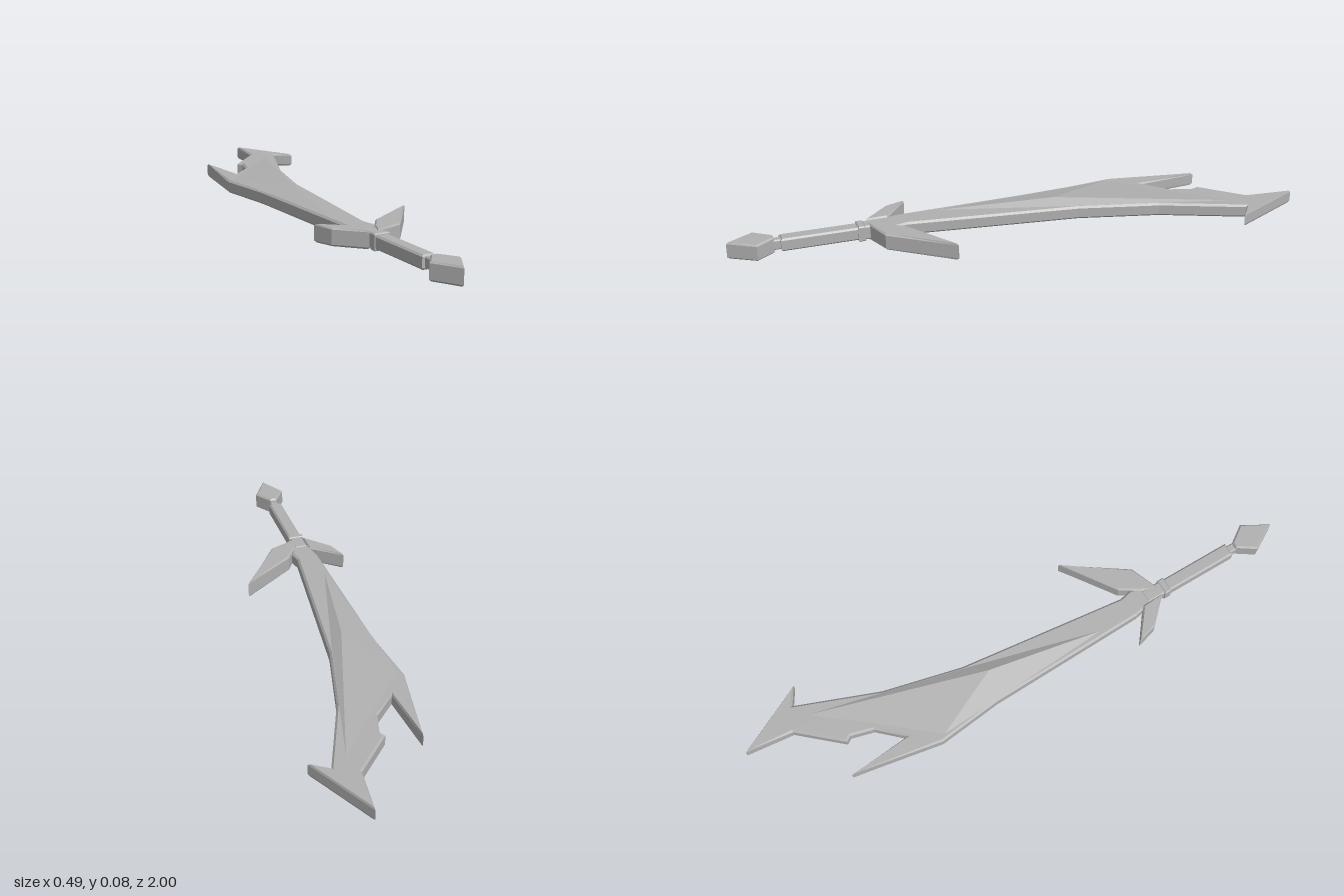
import * as THREE from 'three';

export function createModel() {
  const group = new THREE.Group();
  group.name = 'sword';
  const steel = new THREE.MeshStandardMaterial({ color: 0xb0b0b0 });
  steel.name = 'grey steel';

  // Bevelled plate lying flat: outline in [x, z], from height y0 to y1
  function plate(name, outline, y0, y1, bevel) {
    const shape = new THREE.Shape(outline.map(([x, z]) => new THREE.Vector2(x, -z)));
    const geo = new THREE.ExtrudeGeometry(shape, {
      depth: y1 - y0 - 2 * bevel, bevelEnabled: true, bevelSegments: 1,
      bevelThickness: bevel, bevelSize: bevel, bevelOffset: -bevel,
    });
    geo.rotateX(-Math.PI / 2);
    geo.translate(0, y0 + bevel, 0);
    const mesh = new THREE.Mesh(geo, steel);
    mesh.name = name;
    group.add(mesh);
  }

  // Rectangular plate centred on the handle axis
  const axis = -0.114;
  const bar = (name, halfWidth, z0, z1, y0, y1, bevel) => plate(name, [
    [axis - halfWidth, z1], [axis + halfWidth, z1],
    [axis + halfWidth, z0], [axis - halfWidth, z0],
  ], y0, y1, bevel);

  // Blade with barbed tip and a hooked back edge
  plate('blade', [
    [-0.135, 0.5], [-0.09, 0.5], [-0.065, 0.43], [-0.075, 0.385], [-0.003, -0.22],
    [0.065, -0.5], [0.178, -0.788], [0.24, -0.75], [0.114, -1], [0.095, -0.83],
    [-0.03, -0.69], [-0.018, -0.67], [-0.04, -0.59], [-0.12, -0.505],
    [-0.14, -0.73], [-0.198, -0.41], [-0.172, -0.18], [-0.156, 0.4],
  ], 0.01, 0.058, 0.007);

  // Low faceted ridge on the upper face of the blade
  const base = 0.0575;
  const rear = [-0.142, base, 0.27], peak = [-0.068, 0.078, -0.15], front = [0.125, base, -0.77];
  const rightLow = [-0.016, base, -0.2], leftLow = [-0.183, base, -0.4];
  const notch = [-0.03, base, -0.58];
  const ridge = new THREE.BufferGeometry();
  ridge.setAttribute('position', new THREE.Float32BufferAttribute([
    rear, rightLow, peak, rightLow, front, peak,
    front, notch, peak, notch, leftLow, peak, leftLow, rear, peak,
  ].flat(), 3));
  ridge.computeVertexNormals();
  const ridgeMesh = new THREE.Mesh(ridge, steel);
  ridgeMesh.name = 'bladeRidge';
  group.add(ridgeMesh);

  // Guard: long left wing, short right wing and the block between them
  plate('leftGuardWing', [
    [-0.11, 0.52], [-0.003, 0.48], [0.147, 0.265], [-0.045, 0.395], [-0.09, 0.465],
  ], 0.003, 0.064, 0.006);
  plate('rightGuardWing', [
    [-0.137, 0.52], [-0.138, 0.44], [-0.246, 0.355], [-0.225, 0.43],
  ], 0.003, 0.064, 0.006);
  bar('guardBlock', 0.024, 0.46, 0.535, 0.008, 0.06, 0.005);

  // Grip with collars at both ends
  bar('upperCollar', 0.028, 0.53, 0.555, 0.005, 0.062, 0.004);
  bar('grip', 0.024, 0.55, 0.82, 0.01, 0.057, 0.006);
  bar('lowerCollar', 0.014, 0.81, 0.86, 0.015, 0.052, 0.004);

  // Diamond pommel
  plate('pommel', [
    [axis - 0.012, 0.842], [axis - 0.055, 0.905], [axis, 1],
    [axis + 0.055, 0.905], [axis + 0.012, 0.842],
  ], 0.003, 0.064, 0.006);

  return group;
}
